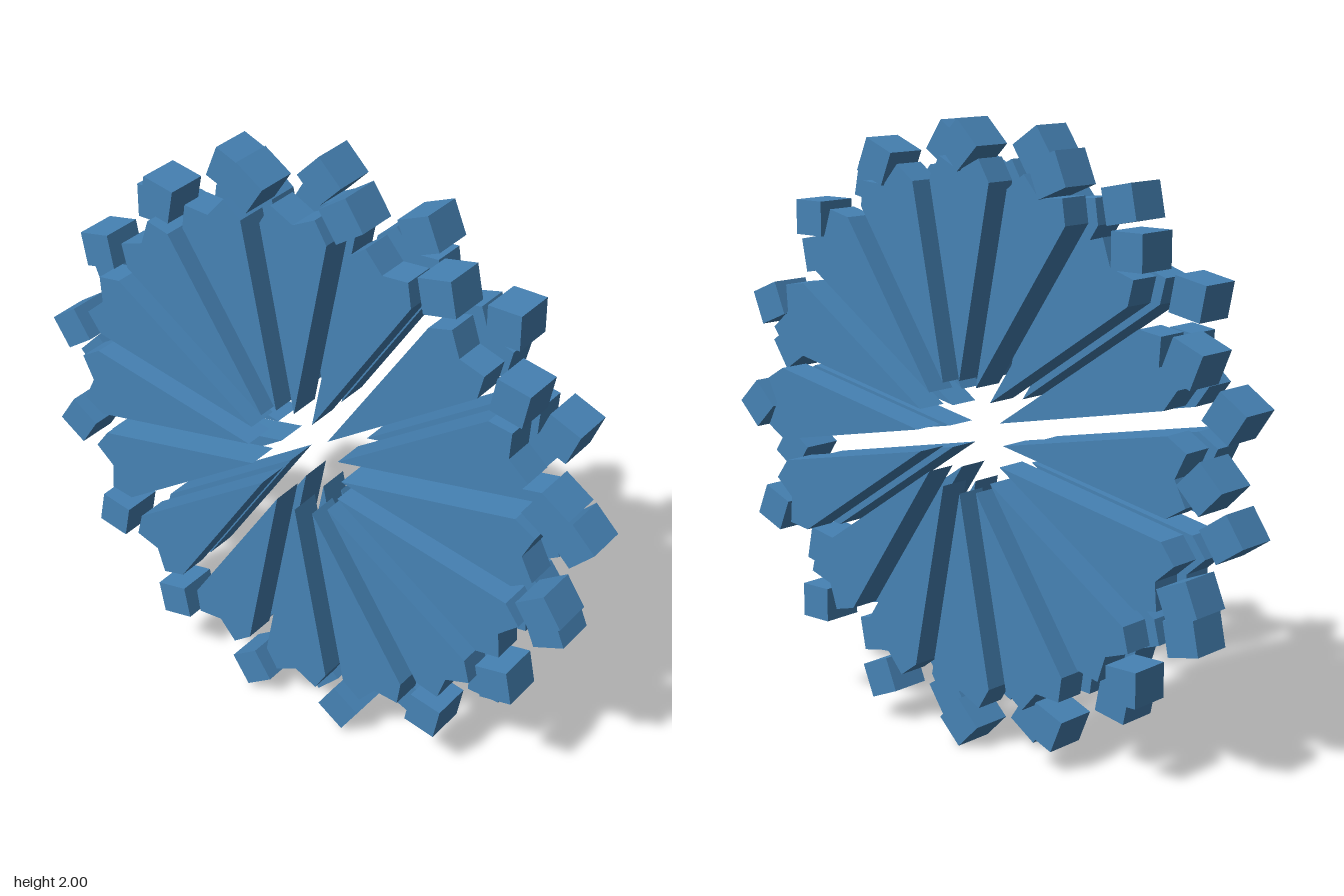
import * as THREE from 'three';

const COUNT = 16;
const STEP = (Math.PI * 2) / COUNT;
const RIM_RADIUS = 0.92;

// Wedge petal with a notched outer end, pointing up; thickness runs along x
function petalGeometry(thickness) {
  const outline = [[0, 0.18], [0.122, 0.8], [0.08, 0.87], [0, 0.83], [-0.08, 0.87], [-0.122, 0.8]];
  const shape = new THREE.Shape(outline.map(([x, y]) => new THREE.Vector2(x, y)));
  return new THREE.ExtrudeGeometry(shape, { depth: thickness, bevelEnabled: false })
    .translate(0, 0, -thickness / 2)
    .rotateY(Math.PI / 2);
}

// Rim block standing on its corner, one diagonal along the radius
function blockGeometry() {
  return new THREE.BoxGeometry(0.14, 0.113, 0.113)
    .rotateX(Math.PI / 4)
    .translate(0, RIM_RADIUS, 0);
}

export function createModel() {
  const model = new THREE.Group();
  model.name = 'flowerWheel';
  const blue = new THREE.MeshStandardMaterial({ color: 0x4682b4 });
  blue.name = 'steelBlue';

  const petalGeo = petalGeometry(0.108);
  const blockGeo = blockGeometry();

  // Two discs side by side; petals line up, rim blocks are staggered by half a step
  const layers = [
    { name: 'leftDisc', x: 0.07, stagger: 0, lift: 0.012, shift: 0.005 },
    { name: 'rightDisc', x: -0.07, stagger: STEP / 2, lift: 0.002, shift: 0 },
  ];

  for (const { name, x, stagger, lift, shift } of layers) {
    const disc = new THREE.Group();
    disc.name = name;
    disc.position.set(x, 1, 0);

    const petals = new THREE.Group();
    petals.name = 'petals';
    petals.position.set(x > 0 ? 0.003 : -0.005, lift, shift);

    const rim = new THREE.Group();
    rim.name = 'rimBlocks';

    for (let i = 0; i < COUNT; i++) {
      const petal = new THREE.Mesh(petalGeo, blue);
      petal.name = 'petal';
      petal.rotation.x = i * STEP;
      petals.add(petal);

      const block = new THREE.Mesh(blockGeo, blue);
      block.name = 'rimBlock';
      block.rotation.x = i * STEP + stagger;
      rim.add(block);
    }
    disc.add(petals, rim);
    model.add(disc);
  }
  return model;
}
